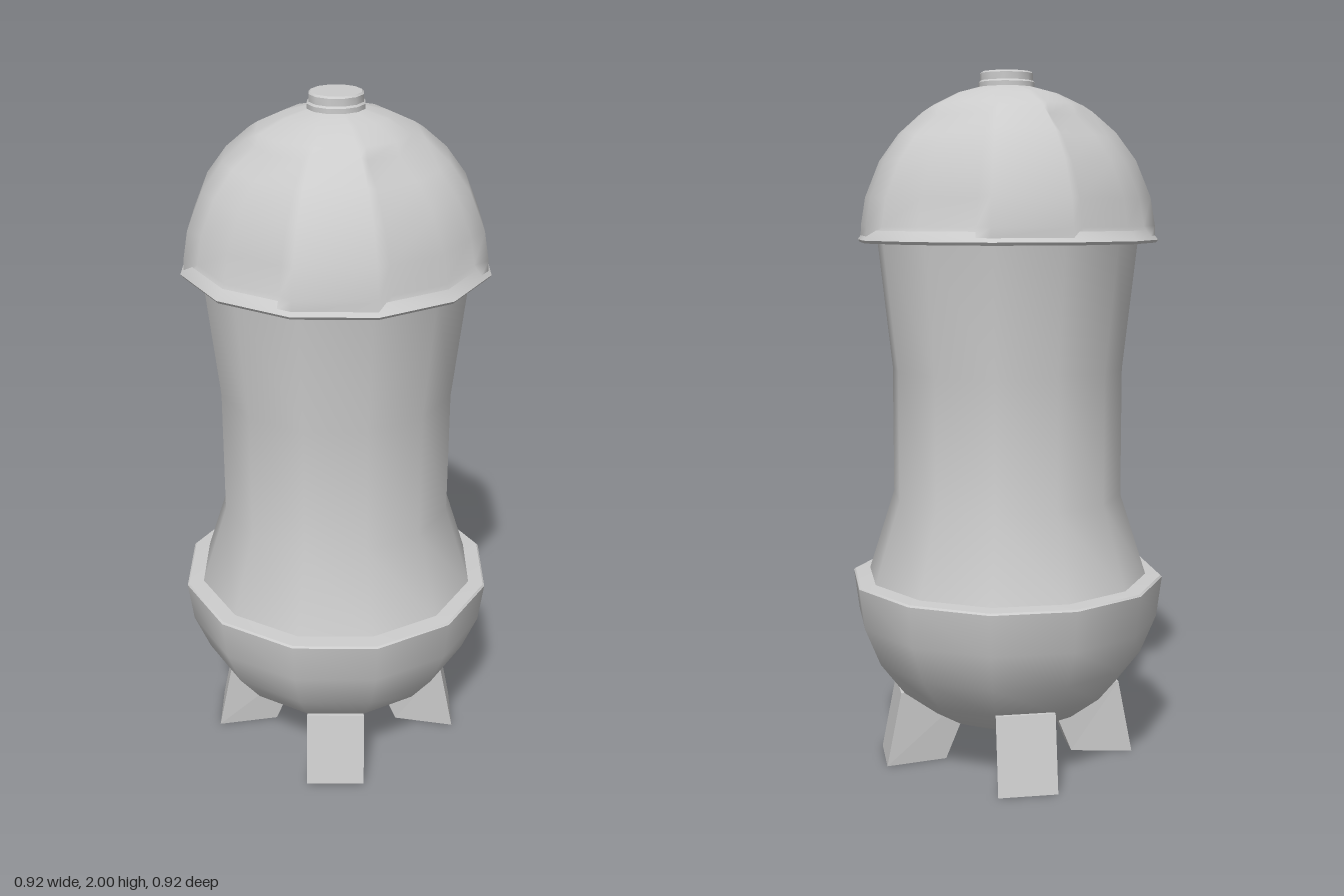
import * as THREE from 'three';
import { toCreasedNormals } from 'three/addons/utils/BufferGeometryUtils.js';

const SIDES = 12;
const material = new THREE.MeshStandardMaterial({ color: 0xcccccc });
const rad = THREE.MathUtils.degToRad;

function part(name, geometry) {
  const mesh = new THREE.Mesh(geometry, material);
  mesh.name = name;
  return mesh;
}

// Twelve-sided turned part: profile of [radius, y], listed upwards
function turned(name, profile) {
  const points = profile.map(([r, y]) => new THREE.Vector2(r, y));
  return part(name, toCreasedNormals(new THREE.LatheGeometry(points, SIDES), rad(38)));
}

// Faceted dome with four sunken panels
function domeGeometry() {
  const R = 0.425, centreY = 1.54, depth = 0.02;
  const rows = [0, 4, 15, 30, 43, 55, 59, 70, 80];
  const sunkRow = (e) => e >= 4 && e <= 55;
  const columns = [];
  for (let q = 0; q < 4; q++) {
    for (const a of [-30, -24, 0, 24, 30]) columns.push({ angle: q * 90 + a, sunk: Math.abs(a) < 30 });
  }
  const n = columns.length, positions = [], index = [];
  rows.forEach((e, j) => {
    columns.forEach(({ angle, sunk }, i) => {
      // keep in-between columns on the flat sides of the polygon
      const offset = (((angle % 30) + 30) % 30) - 15;
      const flat = Math.cos(rad(15)) / Math.cos(rad(offset));
      const r = R - (sunk && sunkRow(e) ? depth : 0);
      const h = r * Math.cos(rad(e)) * flat;
      positions.push(h * Math.sin(rad(angle)), centreY + r * Math.sin(rad(e)), h * Math.cos(rad(angle)));
      if (j < rows.length - 1) {
        const a = j * n + i, b = j * n + (i + 1) % n;
        index.push(a, b, b + n, a, b + n, a + n);
      }
    });
  });
  const geometry = new THREE.BufferGeometry();
  geometry.setAttribute('position', new THREE.Float32BufferAttribute(positions, 3));
  geometry.setIndex(index);
  geometry.computeVertexNormals();
  return geometry;
}

// Wedge-shaped leg leaning into the bowl, pointing along +z
function legGeometry() {
  const geometry = new THREE.BoxGeometry(2, 2, 2);
  const p = geometry.attributes.position;
  for (let i = 0; i < p.count; i++) {
    const top = p.getY(i) > 0, outer = p.getZ(i) > 0;
    const halfWidth = outer ? 0.085 : 0.05;
    const reach = outer ? (top ? 0.325 : 0.368) : (top ? 0.1 : 0.19);
    p.setXYZ(i, p.getX(i) * halfWidth, top ? 0.22 : 0, reach);
  }
  const flat = geometry.toNonIndexed();
  flat.computeVertexNormals();
  return flat;
}

export function createModel() {
  const model = new THREE.Group();
  model.name = 'capsule';

  // Bowl: recessed underside, quarter-round wall, flat rim
  const bowl = [[0, 0.13], [0.08, 0.13], [0.085, 0.1], [0.12, 0.1]];
  for (let a = 60; a >= 0; a -= 15) {
    bowl.push([0.46 * Math.cos(rad(a)), 0.545 - 0.46 * Math.sin(rad(a))]);
  }
  bowl.push([0.455, 0.55], [0.39, 0.555]);
  model.add(turned('bowl', bowl));

  // Waisted body
  model.add(turned('body', [[0.415, 0.54], [0.335, 0.79], [0.335, 1.16], [0.377, 1.535]]));

  // Dome with flange and top knob
  model.add(turned('flange', [[0.35, 1.525], [0.428, 1.522], [0.434, 1.53], [0.41, 1.56]]));
  model.add(part('dome', domeGeometry()));
  model.add(turned('knob', [[0.08, 1.95], [0.08, 1.97], [0.075, 1.975], [0.075, 1.995], [0.07, 2], [0, 2]]));

  // Four diagonal legs
  const leg = legGeometry();
  for (let i = 0; i < 4; i++) {
    const mesh = part('leg', leg);
    mesh.rotation.y = Math.PI / 4 + i * Math.PI / 2;
    model.add(mesh);
  }
  return model;
}
